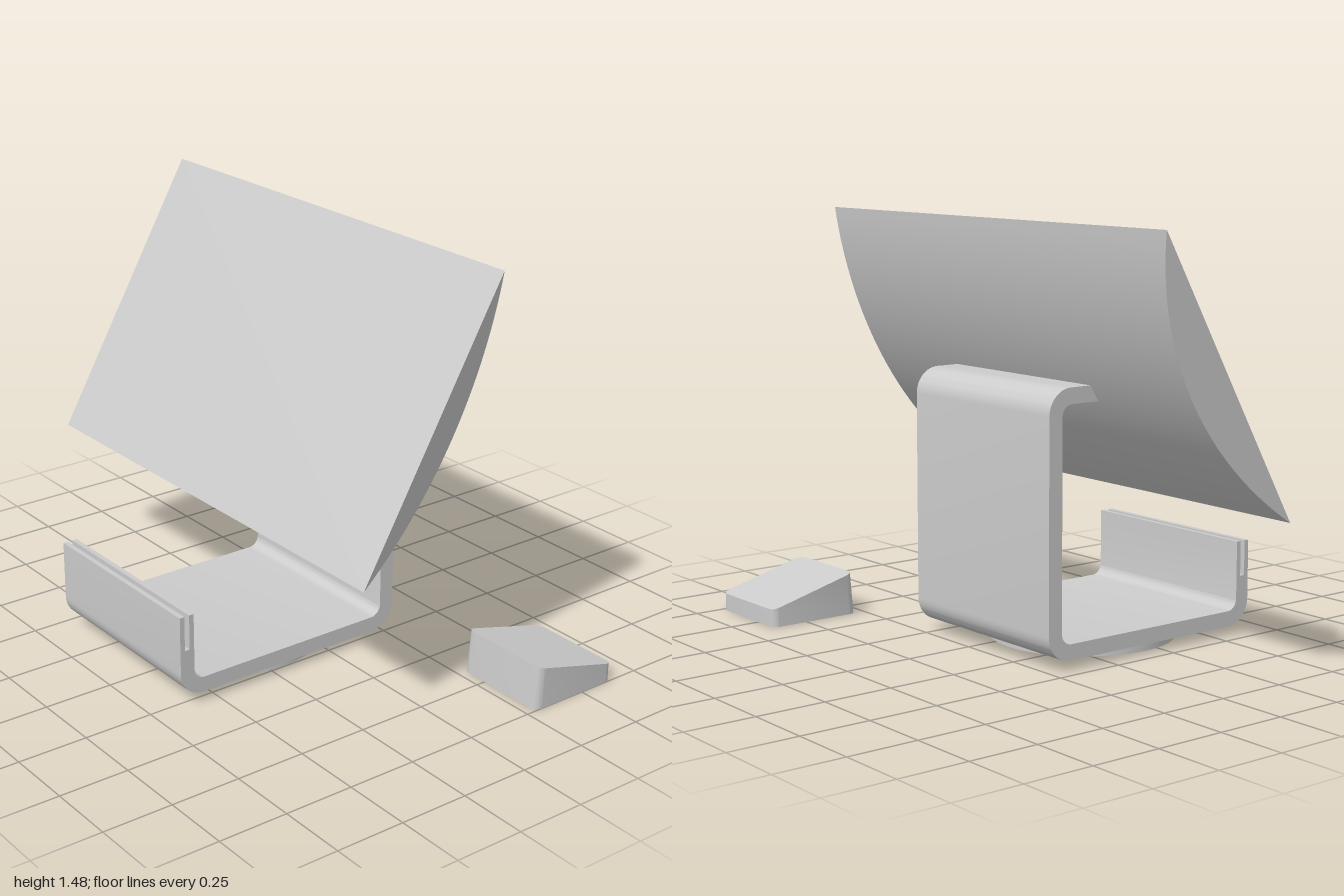
import * as THREE from 'three';
import { toCreasedNormals } from 'three/addons/utils/BufferGeometryUtils.js';

const material = new THREE.MeshStandardMaterial({ color: 0xcccccc });

function part(name, geometry) {
  const mesh = new THREE.Mesh(toCreasedNormals(geometry, 0.5), material);
  mesh.name = name;
  return mesh;
}

// Closed outline from [x, y, radius] corners; rounded corners are right angles
function roundedShape(corners) {
  const shape = new THREE.Shape();
  const n = corners.length;
  corners.forEach(([x, y, r = 0], i) => {
    const p = new THREE.Vector2(x, y);
    const toward = (c) => new THREE.Vector2(c[0], c[1]).sub(p).normalize();
    const a = toward(corners[(i + n - 1) % n]);
    const b = toward(corners[(i + 1) % n]);
    const start = p.clone().addScaledVector(a, r);
    if (i === 0) shape.moveTo(start.x, start.y);
    else shape.lineTo(start.x, start.y);
    if (r > 0) {
      const h1 = p.clone().addScaledVector(a, r * 0.448);
      const h2 = p.clone().addScaledVector(b, r * 0.448);
      const end = p.clone().addScaledVector(b, r);
      shape.bezierCurveTo(h1.x, h1.y, h2.x, h2.y, end.x, end.y);
    }
  });
  shape.closePath();
  return shape;
}

function moveVertices(geometry, rule) {
  const pos = geometry.attributes.position;
  const v = new THREE.Vector3();
  for (let i = 0; i < pos.count; i++) {
    rule(v.fromBufferAttribute(pos, i));
    pos.setXYZ(i, v.x, v.y, v.z);
  }
  return geometry;
}

// Bent plate with a slotted front lip and a short arm at the top
function standGeometry() {
  const shape = roundedShape([
    [0.04, 0.89], [0.207, 0.89, 0.04], [0.207, 0.09, 0.04], [-0.59, 0.09, 0.04],
    [-0.59, 0.335], [-0.608, 0.335], [-0.608, 0.21], [-0.627, 0.21], [-0.627, 0.335],
    [-0.645, 0.335], [-0.645, 0.035, 0.09], [0.262, 0.035, 0.09],
    [0.262, 0.945, 0.09], [0.085, 0.945],
  ]);
  return new THREE.ExtrudeGeometry(shape, { depth: 0.733, bevelEnabled: false, curveSegments: 12 })
    .translate(0, 0, -0.454);
}

// Flat front, curved back; the ends taper inward toward the back
function screenGeometry() {
  const half = 0.549, sag = 0.121;
  const radius = (half * half + sag * sag) / (2 * sag);
  const sweep = Math.asin(half / radius);
  const points = [];
  for (let i = 0; i <= 40; i++) {
    const a = sweep * (i / 20 - 1);
    points.push(new THREE.Vector2(radius * Math.sin(a), radius * Math.cos(a) - radius + sag));
  }
  const geometry = new THREE.ExtrudeGeometry(new THREE.Shape(points), { depth: 1, bevelEnabled: false });
  // x = along the chord, y = depth behind the flat front, z = 0..1 from end to end
  moveVertices(geometry, (v) => {
    const s = v.x, k = v.y / sag;
    const z = v.z > 0.5 ? 0.8 - 0.032 * k : -1 + 0.059 * k;
    const d = v.y - 0.0065 * (z + 0.1);
    v.set(-0.018 + 0.498 * s + 0.867 * d, 1.006 + 0.867 * s - 0.498 * d, z);
  });
  // the mapping mirrors the shape, so turn the triangles round
  const pos = geometry.attributes.position;
  const a = new THREE.Vector3(), b = new THREE.Vector3();
  for (let i = 0; i < pos.count; i += 3) {
    a.fromBufferAttribute(pos, i + 1);
    b.fromBufferAttribute(pos, i + 2);
    pos.setXYZ(i + 1, b.x, b.y, b.z);
    pos.setXYZ(i + 2, a.x, a.y, a.z);
  }
  return geometry;
}

// Rounded square block with a sloping top and a leaning tall side
function wedgeGeometry() {
  const r = 0.03;
  const shape = roundedShape([
    [0.285, -1, r], [0.64, -1, r], [0.64, -0.642, r], [0.285, -0.642, r],
  ]);
  const geometry = new THREE.ExtrudeGeometry(shape, { depth: 1, bevelEnabled: false, curveSegments: 8 });
  geometry.rotateX(-Math.PI / 2);
  return moveVertices(geometry, (v) => {
    if (v.y < 0.5) {
      v.y = 0;
      return;
    }
    const t = (v.x - 0.285) / 0.355;
    v.x = 0.298 + 0.342 * t;
    v.y = 0.155 - 0.091 * t;
  });
}

export function createModel() {
  const model = new THREE.Group();
  model.name = 'displayOnStand';

  model.add(part('stand', standGeometry()));
  model.add(part('screen', screenGeometry()));
  model.add(part('wedgeBlock', wedgeGeometry()));

  // Round foot under the plate
  const foot = part('baseDisc', new THREE.CylinderGeometry(0.333, 0.333, 0.035, 64));
  foot.position.set(-0.191, 0.0175, -0.087);
  model.add(foot);

  return model;
}
